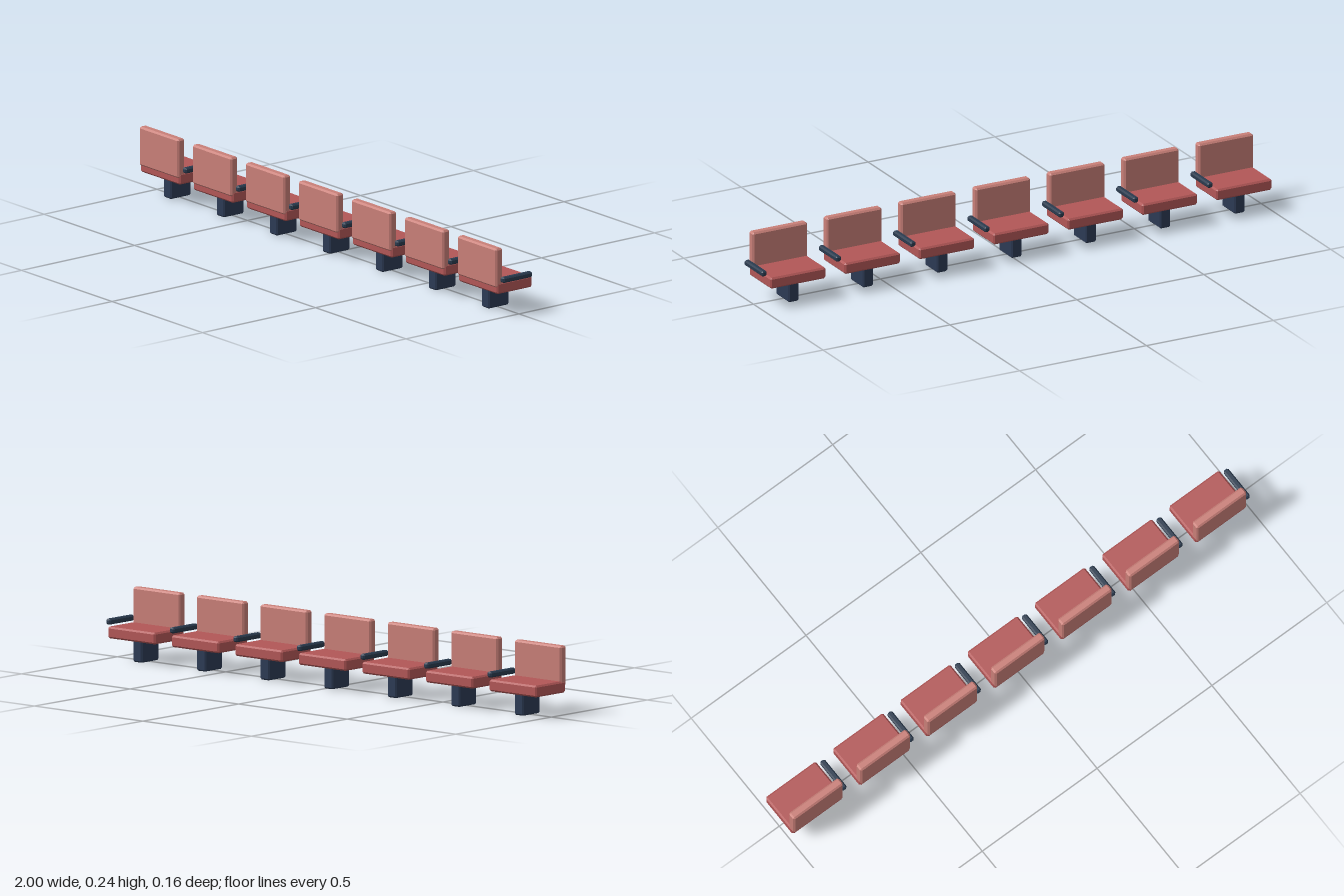
import * as THREE from 'three';
import { ConvexGeometry } from 'three/addons/geometries/ConvexGeometry.js';

// Box with flat chamfered edges: three inset corner points per corner
function chamferBox(w, h, d, c) {
  const points = [];
  for (const sx of [-1, 1]) for (const sy of [-1, 1]) for (const sz of [-1, 1]) {
    const x = w / 2, y = h / 2, z = d / 2;
    points.push(
      new THREE.Vector3(sx * x, sy * (y - c), sz * (z - c)),
      new THREE.Vector3(sx * (x - c), sy * y, sz * (z - c)),
      new THREE.Vector3(sx * (x - c), sy * (y - c), sz * z)
    );
  }
  return new ConvexGeometry(points);
}

function material(name, color) {
  const m = new THREE.MeshStandardMaterial({ color });
  m.name = name;
  return m;
}

export function createModel() {
  const model = new THREE.Group();
  model.name = 'seatRow';

  const seatRed = material('seatRed', 0xb25757);
  const backPink = material('backrestPink', 0xc97f78);
  const postNavy = material('postNavy', 0x2c3a54);
  const armSlate = material('armrestSlate', 0x2a3b4f);

  // name, material, geometry, centre
  const parts = [
    ['post', postNavy, chamferBox(0.042, 0.083, 0.091, 0.005), [0, 0.0415, -0.002]],
    ['seat', seatRed, chamferBox(0.219, 0.041, 0.156, 0.006), [0, 0.0975, -0.002]],
    ['backrest', backPink, chamferBox(0.217, 0.14, 0.031, 0.006), [0, 0.171, 0.066]],
    ['armrest', armSlate, chamferBox(0.021, 0.02, 0.13, 0.005), [0.1235, 0.131, 0.003]],
  ];

  // Seven identical seats in a line, each with one armrest
  const count = 7, pitch = 0.2928, firstX = -0.8905;
  for (let i = 0; i < count; i++) {
    const chair = new THREE.Group();
    chair.name = `chair${i + 1}`;
    for (const [name, mat, geometry, centre] of parts) {
      const mesh = new THREE.Mesh(geometry, mat);
      mesh.name = name;
      mesh.position.set(...centre);
      chair.add(mesh);
    }
    chair.position.x = firstX + i * pitch;
    model.add(chair);
  }
  return model;
}
